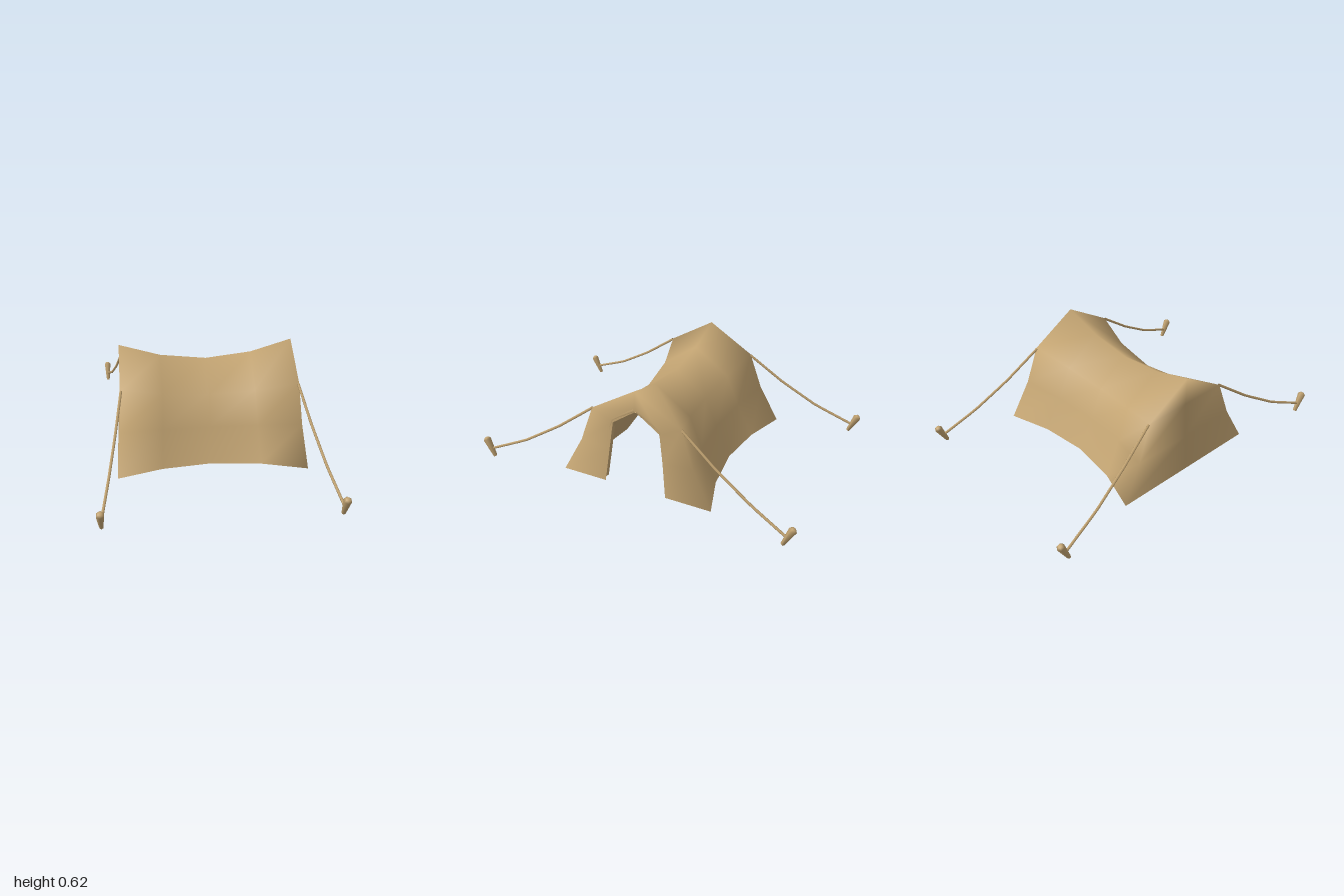
import * as THREE from 'three';

const canvas = new THREE.MeshStandardMaterial({ color: 0xc4a573, side: THREE.DoubleSide });
canvas.name = 'tan canvas';

const lerp = THREE.MathUtils.lerp;

// Half profiles [z, y] from base to ridge, at the waist and at the ends
const WAIST = [[0.355, 0.01], [0.265, 0.2], [0.19, 0.375], [0, 0.525]];
const END = [[0.47, 0.01], [0.352, 0.235], [0.275, 0.458], [0, 0.627]];
const DOOR = [[0.192, 0.01], [0.168, 0.22], [0.145, 0.395], [0, 0.5]];
const END_X = [0.54, 0.52, 0.508, 0.508];
const ROWS = [[-1, 1], [-0.53, 0.3], [0, 0], [0.53, 0.3], [1, 1]]; // [x factor, flare]

// Full arch of 7 points from the +z base over the ridge to the -z base
const arch = (f) => Array.from({ length: 7 }, (_, j) => f(j < 4 ? j : 6 - j, j < 4 ? 1 : -1));

function tentCloth() {
  const pos = [], index = [];
  const add = (p) => pos.push(...p) / 3 - 1;
  const quad = (a, b, c, d) => index.push(a, b, c, a, c, d);

  // Roof and sides
  const rows = ROWS.map(([fx, t]) => arch((k, s) => add([
    fx * END_X[k],
    lerp(WAIST[k][1], END[k][1], t),
    s * lerp(WAIST[k][0], END[k][0], t),
  ])));
  for (let i = 0; i < 4; i++) {
    for (let j = 0; j < 6; j++) {
      quad(rows[i][j], rows[i + 1][j], rows[i + 1][j + 1], rows[i][j + 1]);
    }
  }

  // Closed end wall with a middle column
  const e = rows[0];
  const mid = [0, 1, 2].map((k) => add([-END_X[k], END[k][1], 0]));
  for (let k = 0; k < 2; k++) {
    quad(mid[k], e[k], e[k + 1], mid[k + 1]);
    quad(e[6 - k], mid[k], mid[k + 1], e[5 - k]);
  }
  index.push(mid[2], e[2], e[3], e[4], mid[2], e[3]);

  // Open end: a band around the doorway
  const o = rows[4];
  const inner = arch((k, s) => add([END_X[k], DOOR[k][1], s * DOOR[k][0]]));
  for (let j = 0; j < 6; j++) quad(o[j], inner[j], inner[j + 1], o[j + 1]);

  const g = new THREE.BufferGeometry();
  g.setAttribute('position', new THREE.Float32BufferAttribute(pos, 3));
  g.setIndex(index);
  g.computeVertexNormals();
  return g;
}

const polyline = (points) => {
  const path = new THREE.CurvePath();
  for (let i = 1; i < points.length; i++) path.add(new THREE.LineCurve3(points[i - 1], points[i]));
  return path;
};

export function createModel() {
  const model = new THREE.Group();
  model.name = 'tent';
  const add = (name, geometry) => {
    const mesh = new THREE.Mesh(geometry, canvas);
    mesh.name = name;
    model.add(mesh);
    return mesh;
  };
  const v = (x, y, z) => new THREE.Vector3(x, y, z);

  add('tentCloth', tentCloth());

  for (const sz of [1, -1]) {
    // Door flap rolled up behind the doorway edge
    const roll = new THREE.CatmullRomCurve3([
      v(0.49, 0.505, sz * 0.01), v(0.488, 0.405, sz * 0.155),
      v(0.495, 0.22, sz * 0.188), v(0.512, 0.03, sz * 0.212),
    ], false, 'catmullrom', 0.2);
    add('rolledFlap', new THREE.TubeGeometry(roll, 10, 0.022, 7));
    const tip = add('rolledFlapEnd', new THREE.CircleGeometry(0.022, 7));
    tip.position.copy(roll.getPoint(1));
    tip.rotation.x = Math.PI / 2;

    for (const sx of [1, -1]) {
      // Sagging guy rope
      const shift = sx > 0 && sz < 0 ? 0.02 : 0;
      const rope = polyline([
        v(sx * 0.503, 0.455, sz * 0.275), v(sx * 0.54, 0.295, sz * 0.49),
        v(sx * 0.578, 0.16, sz * 0.71), v(sx * 0.615, 0.062, sz * (0.935 - shift)),
      ]);
      add('guyRope', new THREE.TubeGeometry(rope, 12, 0.008, 5));

      // Tapered peg leaning away from the tent, with a bevelled head
      const peg = add('peg', new THREE.LatheGeometry([
        new THREE.Vector2(0, -0.064), new THREE.Vector2(0.011, -0.064),
        new THREE.Vector2(0.023, 0.052), new THREE.Vector2(0.012, 0.064), new THREE.Vector2(0, 0.064),
      ], 6));
      peg.position.set(sx * 0.618, 0.068, sz * (0.951 - shift));
      peg.rotation.x = sz * 0.42;
    }
  }
  return model;
}
